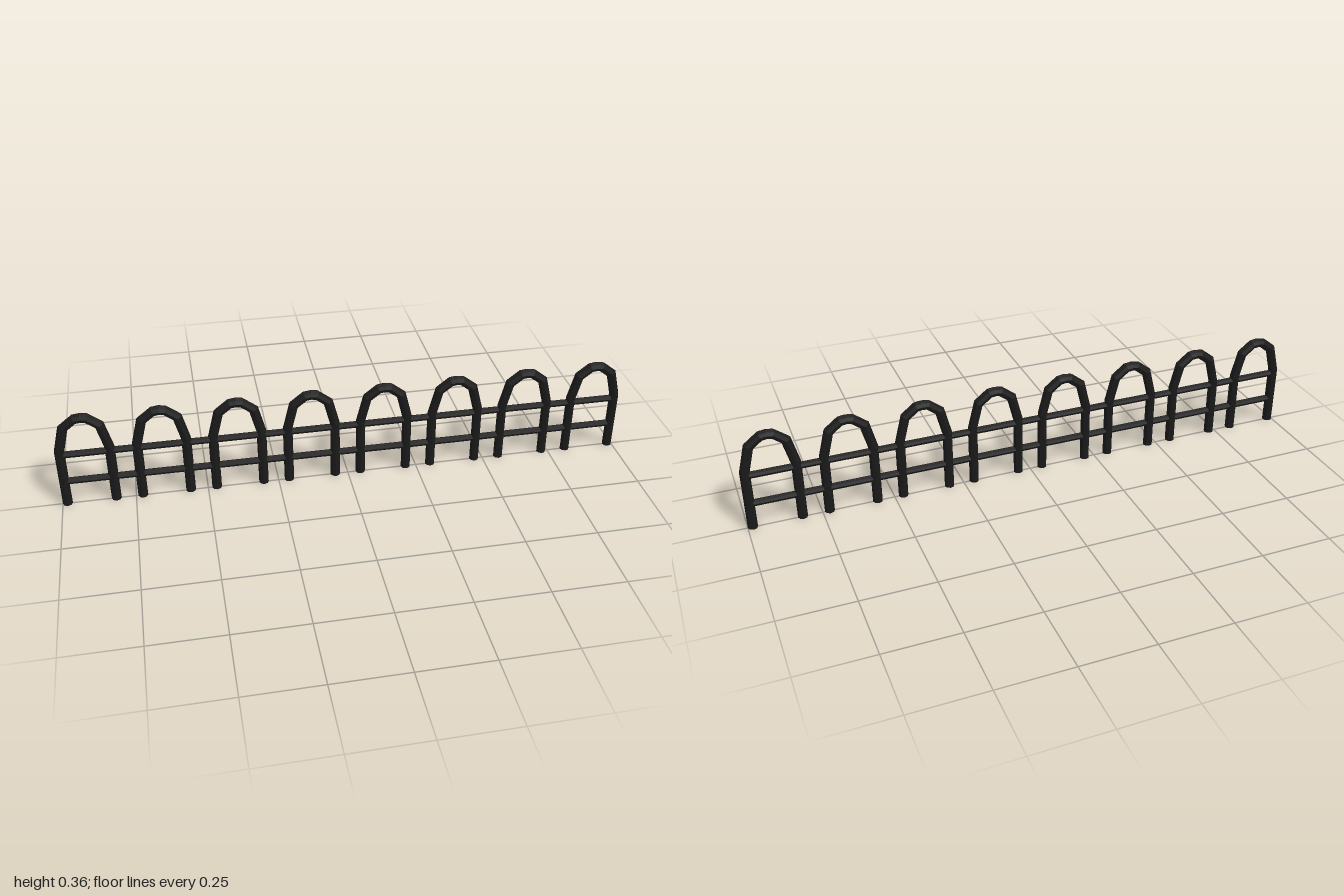
import * as THREE from 'three';

const SIDES = 8;
const HOOPS = 8;
const RADIUS = 0.0168;

// Sweeps an octagonal section along a polyline in the xy plane, with mitred joints and capped ends
function sweep(points, radius) {
  const normals = points.slice(1).map((p, i) => {
    const d = p.clone().sub(points[i]).normalize();
    return new THREE.Vector2(-d.y, d.x);
  });
  const position = [], index = [];
  points.forEach((p, i) => {
    const a = normals[Math.max(i - 1, 0)];
    const b = normals[Math.min(i, normals.length - 1)];
    const m = a.clone().add(b).normalize();
    m.divideScalar(m.dot(a));
    for (let k = 0; k < SIDES; k++) {
      const t = (k / SIDES) * Math.PI * 2;
      const c = Math.cos(t) * radius;
      position.push(p.x + m.x * c, p.y + m.y * c, Math.sin(t) * radius);
    }
  });
  const last = (points.length - 1) * SIDES;
  for (let i = 0; i < last; i += SIDES) {
    for (let k = 0; k < SIDES; k++) {
      const n = (k + 1) % SIDES;
      index.push(i + k, i + SIDES + k, i + n, i + n, i + SIDES + k, i + SIDES + n);
    }
  }
  for (let k = 1; k < SIDES - 1; k++) {
    index.push(0, k, k + 1, last, last + k + 1, last + k);
  }
  const geometry = new THREE.BufferGeometry();
  geometry.setAttribute('position', new THREE.Float32BufferAttribute(position, 3));
  geometry.setIndex(index);
  geometry.computeVertexNormals();
  return geometry;
}

export function createModel() {
  const fence = new THREE.Group();
  fence.name = 'fence';
  const iron = new THREE.MeshStandardMaterial({ color: 0x1a1a1a, flatShading: true, side: THREE.DoubleSide });

  // Arched hoops: half the outline, mirrored over the crown
  const half = [[0.083, 0], [0.083, 0.215], [0.06, 0.305], [0.02, 0.336]];
  const outline = [
    ...half,
    [0, 0.3385],
    ...half.map(([x, y]) => [-x, y]).reverse(),
  ].map(([x, y]) => new THREE.Vector2(x, y));
  const hoopGeometry = sweep(outline, RADIUS);
  const reach = 1 - 0.083 - RADIUS;
  for (let i = 0; i < HOOPS; i++) {
    const hoop = new THREE.Mesh(hoopGeometry, iron);
    hoop.name = `hoop${i + 1}`;
    hoop.position.x = -reach + (2 * reach * i) / (HOOPS - 1);
    fence.add(hoop);
  }

  // Two horizontal rails through the hoops
  const railGeometry = new THREE.CylinderGeometry(0.012, 0.012, 1.966, SIDES);
  railGeometry.rotateZ(Math.PI / 2);
  for (const [name, y] of [['lowerRail', 0.093], ['upperRail', 0.2]]) {
    const rail = new THREE.Mesh(railGeometry, iron);
    rail.name = name;
    rail.position.y = y;
    fence.add(rail);
  }
  return fence;
}
